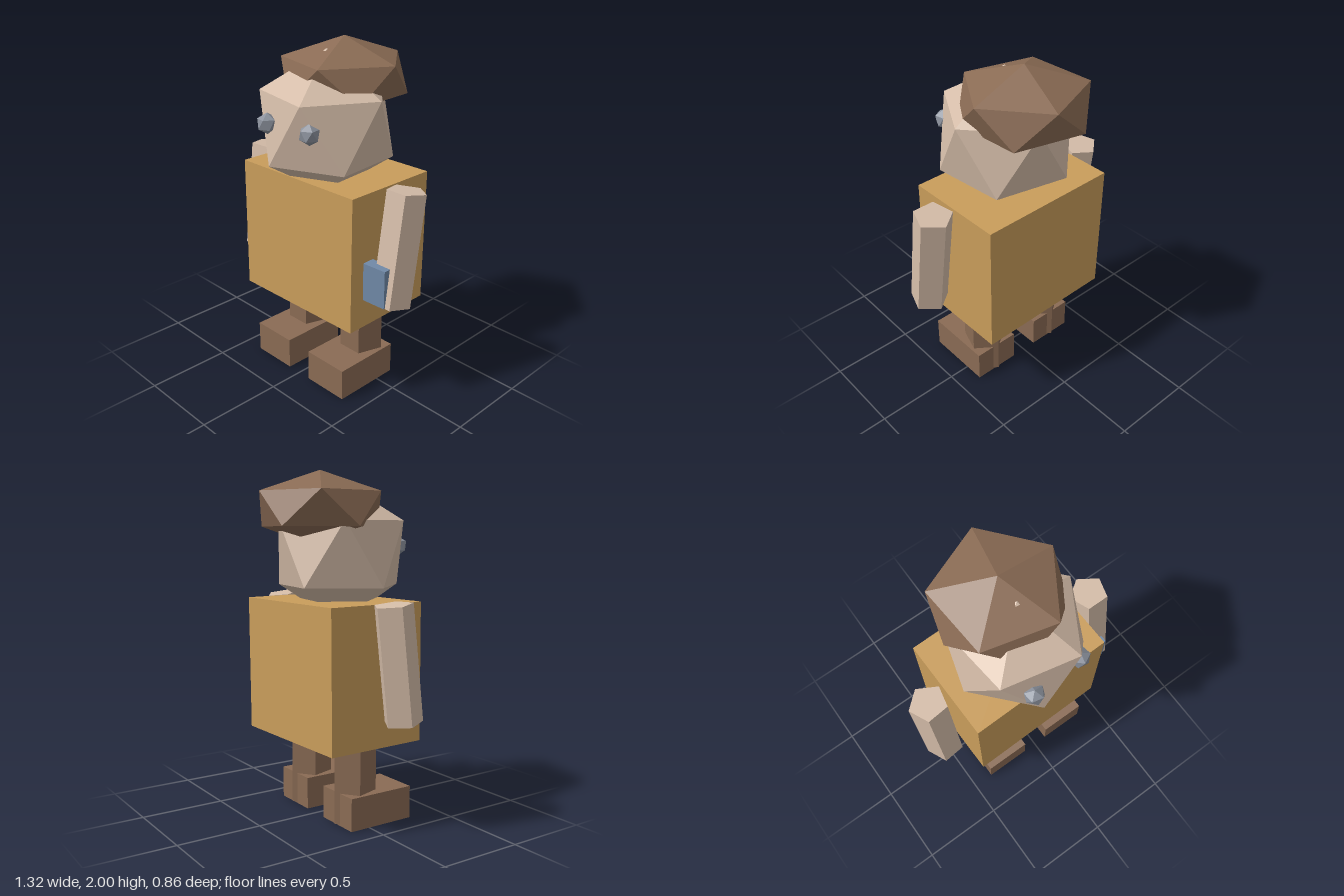
import * as THREE from 'three';

const paint = (name, color) => {
  const m = new THREE.MeshStandardMaterial({ color, flatShading: true });
  m.name = name;
  return m;
};

export function createModel() {
  const skin = paint('skin', 0xd4bca8);
  const brown = paint('brown', 0x8a6b54);
  const ochre = paint('ochre', 0xc99d5b);
  const blue = paint('blue', 0x7089a7);
  const grey = paint('grey', 0x8b919c);

  const model = new THREE.Group();
  model.name = 'figure';

  const add = (name, geometry, material, x, y, z) => {
    const mesh = new THREE.Mesh(geometry, material);
    mesh.name = name;
    mesh.position.set(x, y, z);
    model.add(mesh);
    return mesh;
  };

  // Icosahedron standing on a corner, turned about its upright axis
  const gem = (radius, turn) =>
    new THREE.IcosahedronGeometry(radius, 0)
      .rotateZ(Math.atan(2 / (1 + Math.sqrt(5))))
      .rotateY(THREE.MathUtils.degToRad(turn));

  // Five-sided limb with a flat side to the front
  const limb = (radius, length) =>
    new THREE.CylinderGeometry(radius, radius, length, 5).rotateY(Math.PI);

  // Torso
  const torso = add('torso', new THREE.BoxGeometry(0.865, 0.795, 0.61), ochre, -0.003, 0.872, -0.006);
  torso.rotation.set(-0.008, 0.017, 0);

  // Legs and feet
  for (const [side, s] of [['left', 1], ['right', -1]]) {
    add(side + 'Leg', limb(0.129, 0.55), brown, s * 0.23, 0.285, -0.012);
    add(side + 'Foot', new THREE.BoxGeometry(0.285, 0.19, 0.415), brown, s * 0.228, 0.097, 0.085);
  }

  // Arms, swung slightly forward
  const leftArm = add('leftArm', limb(0.111, 0.648), skin, 0.55, 0.955, 0.045);
  leftArm.rotation.x = -0.15;
  const rightArm = add('rightArm', limb(0.111, 0.648), skin, -0.552, 0.955, 0.046);
  rightArm.rotation.set(-0.12, 0.1, 0);

  // Small block held beside the left arm
  add('heldBlock', new THREE.BoxGeometry(0.17, 0.225, 0.075), blue, 0.495, 0.762, 0.157).rotation.y = 0.05;

  // Head, flattened hair cap and eyes
  add('head', gem(0.414, -30), skin, 0, 1.535, 0.05);
  add('hair', gem(0.394, -32), brown, -0.008, 1.783, -0.091).scale.y = 0.551;
  add('leftEye', gem(0.06, 10), grey, 0.182, 1.575, 0.35);
  add('rightEye', gem(0.06, -30), grey, -0.123, 1.575, 0.375);

  return model;
}
